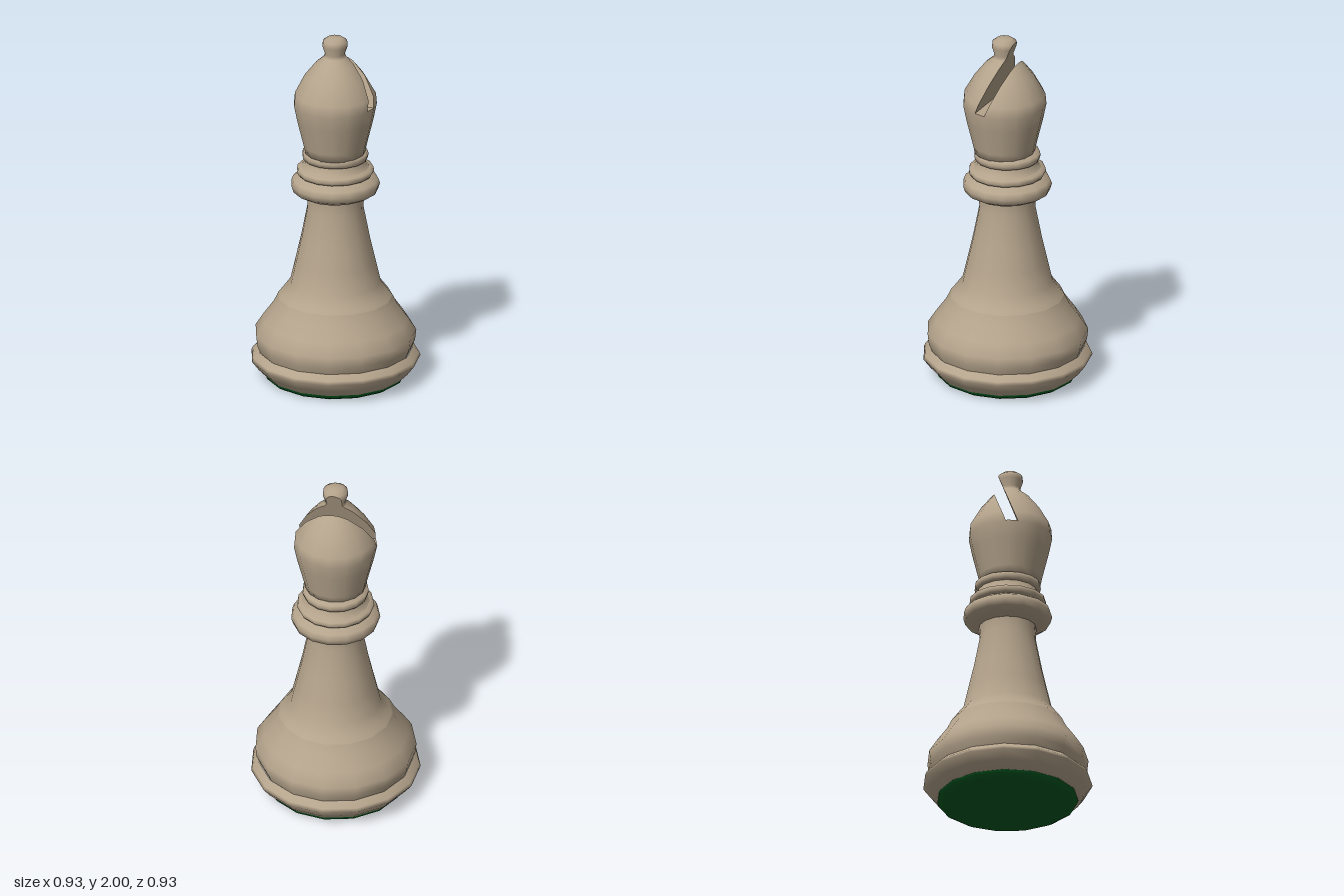
import * as THREE from 'three';

const SIDES = 15;

// Keeps the part of a solid where n.p >= c and closes the cut with a flat cap.
function cutSolid(geometry, n, c) {
  const src = geometry.index ? geometry.toNonIndexed() : geometry;
  const P = src.attributes.position, N = src.attributes.normal;
  const pos = [], nor = [], cutEdges = [];
  const push = (v) => { pos.push(...v.p.toArray()); nor.push(...v.n.toArray()); };
  for (let i = 0; i < P.count; i += 3) {
    const tri = [0, 1, 2].map((k) => {
      const p = new THREE.Vector3().fromBufferAttribute(P, i + k);
      return { p, n: new THREE.Vector3().fromBufferAttribute(N, i + k), d: n.dot(p) - c };
    });
    const poly = [], edge = [];
    tri.forEach((a, k) => {
      const b = tri[(k + 1) % 3];
      if (a.d >= 0) poly.push(a);
      if ((a.d >= 0) !== (b.d >= 0)) {
        const t = a.d / (a.d - b.d);
        const v = { p: a.p.clone().lerp(b.p, t), n: a.n.clone().lerp(b.n, t).normalize() };
        poly.push(v);
        edge.push(v.p);
      }
    });
    for (let k = 1; k + 1 < poly.length; k++) [poly[0], poly[k], poly[k + 1]].forEach(push);
    if (edge.length === 2) cutEdges.push(edge);
  }
  const mid = new THREE.Vector3();
  cutEdges.forEach(([a, b]) => mid.add(a).add(b));
  mid.divideScalar(Math.max(1, cutEdges.length * 2));
  const capNormal = n.clone().normalize().negate();
  cutEdges.forEach(([a, b]) => {
    const cross = a.clone().sub(mid).cross(b.clone().sub(mid));
    const order = cross.dot(capNormal) > 0 ? [mid, a, b] : [mid, b, a];
    order.forEach((p) => push({ p, n: capNormal }));
  });
  const out = new THREE.BufferGeometry();
  out.setAttribute('position', new THREE.Float32BufferAttribute(pos, 3));
  out.setAttribute('normal', new THREE.Float32BufferAttribute(nor, 3));
  return out;
}

// Turned shape from [radius, height] pairs, listed from bottom to top
const turned = (profile) =>
  new THREE.LatheGeometry(profile.map(([r, y]) => new THREE.Vector2(r, y)), SIDES);

export function createModel() {
  const group = new THREE.Group();
  const wood = new THREE.MeshStandardMaterial({ color: 0xb5a48c });
  wood.name = 'paleWood';
  const felt = new THREE.MeshStandardMaterial({ color: 0x00591f });
  felt.name = 'greenFelt';

  const add = (name, geometry, material = wood, z = 0) => {
    const mesh = new THREE.Mesh(geometry, material);
    mesh.name = name;
    mesh.position.z = z;
    group.add(mesh);
  };

  // Felt pad: underside and rim
  add('feltUnderside', turned([[0, 0], [0.36, 0]]), felt);
  add('feltRim', turned([[0.36, 0], [0.385, 0.015], [0.39, 0.035]]), felt);

  // Foot and swelling base
  add('footUnderside', turned([[0, 0.03], [0.39, 0.03]]));
  add('foot', turned([[0.39, 0.03], [0.43, 0.07], [0.468, 0.12], [0.46, 0.14], [0.425, 0.17]]));
  add('base', turned([
    [0.42, 0.165], [0.438, 0.21], [0.445, 0.27], [0.4, 0.34], [0.342, 0.42], [0.315, 0.475],
  ]));

  // Tapered stem
  add('stem', turned([
    [0.315, 0.475], [0.295, 0.5], [0.25, 0.56], [0.222, 0.68], [0.19, 0.82], [0.155, 1.0], [0.16, 1.08],
  ]));

  // Collar and the thin rings above it
  add('collar', turned([
    [0.15, 1.06], [0.19, 1.075], [0.235, 1.1], [0.246, 1.135], [0.235, 1.165], [0.19, 1.19], [0.15, 1.2],
  ]));
  add('collarRing', turned([
    [0.15, 1.185], [0.205, 1.195], [0.213, 1.21], [0.21, 1.23], [0.18, 1.24], [0.15, 1.24],
  ]));
  add('neck', turned([[0.19, 1.235], [0.17, 1.255], [0.162, 1.29]]));
  add('neckRing', turned([
    [0.15, 1.28], [0.178, 1.285], [0.183, 1.305], [0.18, 1.325], [0.15, 1.335],
  ]));

  // Mitre head with its finial, split by a slanting slot
  const head = turned([
    [0, 1.3], [0.165, 1.32], [0.175, 1.37], [0.212, 1.52], [0.23, 1.61], [0.225, 1.67],
    [0.168, 1.77], [0.105, 1.85], [0.062, 1.885], [0.055, 1.905], [0.07, 1.95],
    [0.067, 1.98], [0.042, 1.998], [0, 2],
  ]);
  const up = new THREE.Vector3(0, 1, 0);
  const across = new THREE.Vector3(-0.23, 0.4, 1);
  const floorY = 1.615, slotCentre = 0.693, slotHalf = 0.033;
  const top = cutSolid(head, up, floorY);
  add('headLower', cutSolid(head, up.clone().negate(), -floorY), wood, 0.015);
  add('headFront', cutSolid(top, across, slotCentre + slotHalf), wood, 0.015);
  add('headBack', cutSolid(top, across.clone().negate(), slotHalf - slotCentre), wood, 0.015);

  return group;
}
